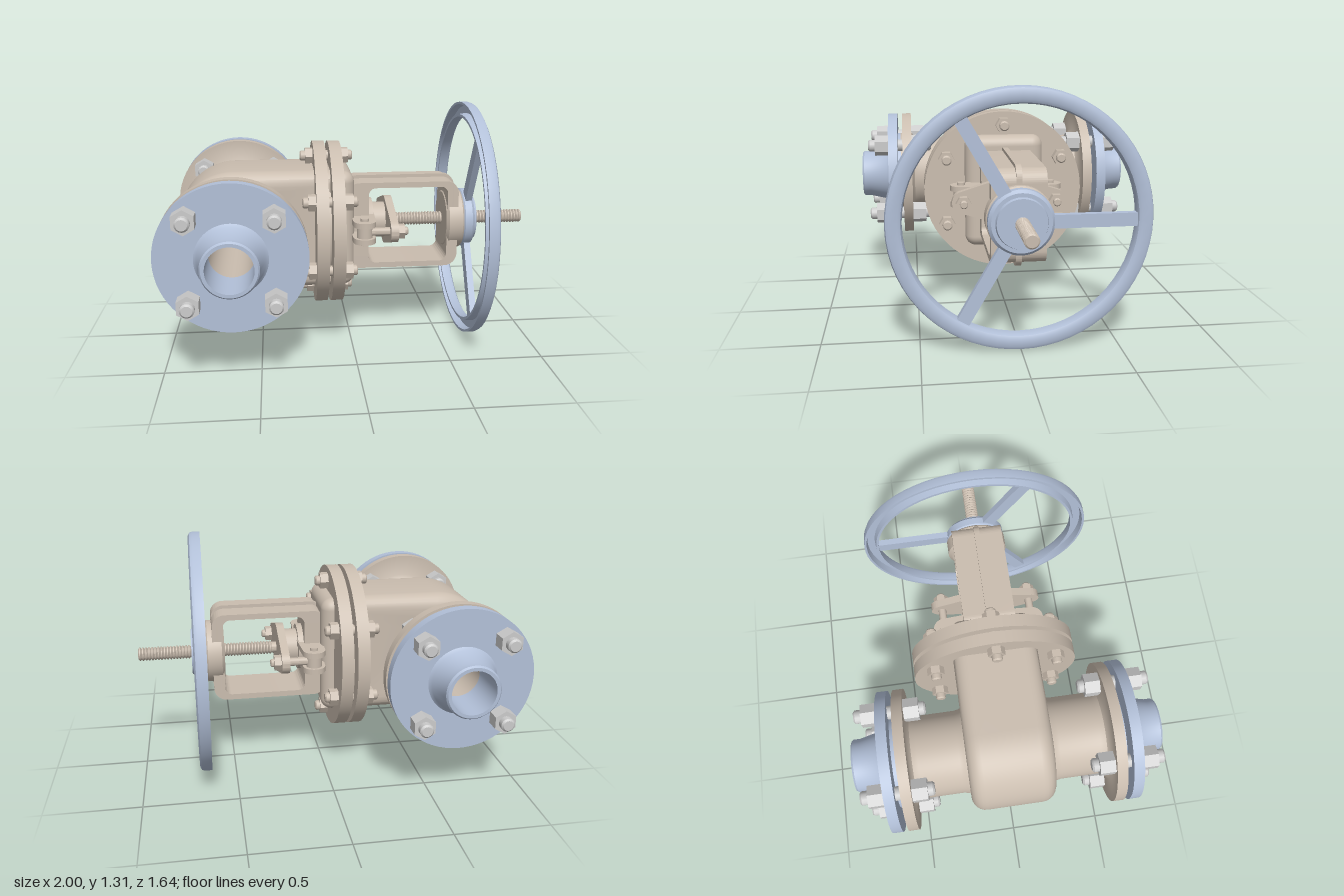
import * as THREE from 'three';
import { toCreasedNormals } from 'three/addons/utils/BufferGeometryUtils.js';
import { RoundedBoxGeometry } from 'three/addons/geometries/RoundedBoxGeometry.js';

const tan = new THREE.MeshStandardMaterial({ color: 0xcabdaf });
const blue = new THREE.MeshStandardMaterial({ color: 0xb2c0d8 });
const steel = new THREE.MeshStandardMaterial({ color: 0xcccccc });
const steelFlat = new THREE.MeshStandardMaterial({ color: 0xcccccc, flatShading: true });
const tanFlat = new THREE.MeshStandardMaterial({ color: 0xcabdaf, flatShading: true });

function add(parent, name, geometry, material) {
  const mesh = new THREE.Mesh(geometry, material);
  mesh.name = name;
  parent.add(mesh);
  return mesh;
}

// Turns a geometry built along y so it lies along x or z
function align(geometry, axis) {
  if (axis === 'x') geometry.rotateZ(-Math.PI / 2);
  if (axis === 'z') geometry.rotateX(Math.PI / 2);
  return geometry;
}

// Turned part from [position along axis, radius] pairs
function turned(axis, profile, segments = 48) {
  const points = profile.map(([a, r]) => new THREE.Vector2(r, a));
  return align(toCreasedNormals(new THREE.LatheGeometry(points, segments), 0.6), axis);
}

// Cylinder spanning from a to b along an axis
function bar(axis, a, b, radius, sides = 24) {
  return align(new THREE.CylinderGeometry(radius, radius, b - a, sides).translate(0, (a + b) / 2, 0), axis);
}

// Threaded bolt with hexagonal nuts given as [from, to] pairs
function bolt(parent, name, axis, from, to, radius, nuts, nutRadius, shankMat, nutMat) {
  const group = new THREE.Group();
  group.name = name;
  const c = radius * 0.25;
  add(group, 'shank', turned(axis, [[from, 0], [from, radius - c], [from + c, radius], [to - c, radius], [to, radius - c], [to, 0]], 16), shankMat);
  for (const [a, b] of nuts) add(group, 'nut', bar(axis, a, b, nutRadius, 6), nutMat);
  parent.add(group);
  return group;
}

// Centred extrusion along z
function slab(shape, depth, bevel = 0) {
  const geometry = new THREE.ExtrudeGeometry(shape, {
    depth: depth - 2 * bevel, bevelEnabled: bevel > 0, bevelSize: bevel, bevelThickness: bevel,
    bevelOffset: -bevel, bevelSegments: 6, curveSegments: 24
  });
  return toCreasedNormals(geometry.translate(0, 0, -depth / 2 + bevel), 0.6);
}

function roundedRect(path, x0, y0, x1, y1, r) {
  path.absarc(x1 - r, y1 - r, r, 0, Math.PI / 2);
  path.absarc(x0 + r, y1 - r, r, Math.PI / 2, Math.PI);
  path.absarc(x0 + r, y0 + r, r, Math.PI, 1.5 * Math.PI);
  path.absarc(x1 - r, y0 + r, r, 1.5 * Math.PI, 2 * Math.PI);
  path.closePath();
  return path;
}

// Central disc tapering to a rounded ear on either side
function earedPlate(R, r, d, hole) {
  const a = Math.acos((R - r) / d);
  const shape = new THREE.Shape();
  shape.absarc(0, 0, R, a, Math.PI - a);
  shape.absarc(-d, 0, r, Math.PI - a, Math.PI + a);
  shape.absarc(0, 0, R, Math.PI + a, 2 * Math.PI - a);
  shape.absarc(d, 0, r, -a, a);
  shape.closePath();
  if (hole) shape.holes.push(new THREE.Path().absarc(0, 0, hole, 0, 2 * Math.PI));
  return shape;
}

export function createModel() {
  const root = new THREE.Group();
  root.name = 'gateValve';
  const valve = new THREE.Group();
  valve.name = 'valve';
  valve.position.y = 0.656;
  root.add(valve);

  // Round-ended gate chamber, pierced by the pipe passage
  const px = -0.625, h = 0.325;
  const chamber = new THREE.Shape();
  chamber.moveTo(-0.08, -h);
  chamber.lineTo(-0.08, h);
  chamber.lineTo(px, h);
  chamber.absarc(px, 0, h, Math.PI / 2, 1.5 * Math.PI);
  chamber.closePath();
  chamber.holes.push(new THREE.Path().absarc(px, 0, 0.125, 0, 2 * Math.PI));
  add(valve, 'gateChamber', slab(chamber, 0.45, 0.075), tan);

  // Pipe passage with a flange at each end
  const half = [[0.2, 0.24], [0.235, 0.225], [0.26, 0.22], [0.47, 0.22], [0.5, 0.23], [0.515, 0.255],
    [0.515, 0.375], [0.57, 0.375], [0.57, 0.25], [0.582, 0.25], [0.582, 0.115]];
  const passage = [...half.map(([a, r]) => [-a, r]).reverse(), ...half, [-0.582, 0.115]];
  add(valve, 'pipePassage', turned('z', passage, 64), tan).position.x = px;

  // Welding-neck counter flanges and their bolts, front and back
  for (const turn of [0, Math.PI]) {
    const end = new THREE.Group();
    end.name = turn ? 'backConnection' : 'frontConnection';
    end.position.x = px;
    end.rotation.y = turn;
    valve.add(end);
    add(end, 'counterFlange', turned('z', [[0.582, 0.115], [0.582, 0.25], [0.6, 0.25], [0.6, 0.375], [0.655, 0.375],
      [0.655, 0.18], [0.67, 0.165], [0.775, 0.14], [0.81, 0.14], [0.82, 0.132], [0.82, 0.115], [0.582, 0.115]], 64), blue);
    for (const x of [-0.21, 0.21]) for (const y of [-0.21, 0.21]) {
      bolt(end, 'pipeFlangeBolt', 'z', 0.4, 0.775, 0.036, [[0.435, 0.515], [0.655, 0.735]], 0.062, steel, steelFlat)
        .position.set(x, y, 0);
    }
  }

  // Bonnet joint: two discs with a gasket between
  add(valve, 'bodyFlange', bar('x', -0.2, -0.135, 0.45, 64), tan);
  add(valve, 'gasket', bar('x', -0.14, -0.105, 0.31, 48), tan);
  add(valve, 'bonnetFlange', bar('x', -0.115, -0.05, 0.45, 64), tan);
  for (let i = 0; i < 6; i++) {
    const a = i * Math.PI / 3;
    bolt(valve, 'bonnetBolt', 'x', -0.27, 0.02, 0.028, [[-0.24, -0.2], [-0.05, -0.005]], 0.046, tan, tanFlat)
      .position.set(0, 0.375 * Math.cos(a), 0.375 * Math.sin(a));
  }

  // Bonnet with stuffing box
  add(valve, 'bonnet', new RoundedBoxGeometry(0.2, 0.64, 0.44, 5, 0.06).translate(-0.085, 0, 0), tan);
  add(valve, 'stuffingBox', turned('x', [[0, 0.16], [0.03, 0.135], [0.13, 0.125], [0.13, 0.03]]), tan);

  // Yoke frame: broad thin legs with a narrow outer rib
  const frame = (grow) => {
    const shape = roundedRect(new THREE.Shape(), -0.02, -0.243 - grow, 0.6, 0.243 + grow, 0.07);
    shape.holes.push(roundedRect(new THREE.Path(), 0.1, -0.213, 0.54, 0.213, 0.04));
    return shape;
  };
  add(valve, 'yoke', slab(frame(0), 0.28), tan);
  add(valve, 'yokeRib', slab(frame(0.018), 0.03), tan);
  add(valve, 'yokeHub', turned('x', [[0.535, 0], [0.535, 0.15], [0.55, 0.17], [0.625, 0.17], [0.635, 0.16], [0.635, 0]]), tan);

  // Gland, its eared flange and hinged eye bolts
  add(valve, 'gland', bar('x', 0.12, 0.21, 0.1), tan);
  add(valve, 'glandFlange', slab(earedPlate(0.135, 0.06, 0.25, 0.03), 0.042).rotateY(Math.PI / 2).translate(0.222, 0, 0), tan);
  for (const y of [-0.045, 0.045]) {
    add(valve, 'lugPlate', slab(earedPlate(0.075, 0.06, 0.25), 0.03).rotateX(-Math.PI / 2).rotateY(Math.PI / 2)
      .translate(0.065, y, 0), tan);
  }
  for (const z of [-0.25, 0.25]) {
    bolt(valve, 'glandBolt', 'x', 0.065, 0.3, 0.022, [[0.243, 0.28]], 0.042, tan, tanFlat).position.z = z;
    add(valve, 'boltEye', bar('y', -0.03, 0.03, 0.042), tan).position.set(0.065, 0, z);
    add(valve, 'hingePin', bar('y', -0.075, 0.075, 0.022), tan).position.set(0.065, 0, z);
  }

  // Threaded stem
  const thread = [[0.1, 0], [0.1, 0.03], [0.27, 0.03]];
  const turns = 44, pitch = 0.73 / turns;
  for (let i = 0; i < turns; i++) thread.push([0.27 + (i + 0.3) * pitch, 0.037], [0.27 + (i + 0.6) * pitch, 0.037], [0.27 + (i + 0.95) * pitch, 0.029]);
  thread.push([1, 0.029], [1, 0]);
  add(valve, 'stem', turned('x', thread, 20), tan);

  // Handwheel: channel rim, three spokes and hub
  const wheel = new THREE.Group();
  wheel.name = 'handwheel';
  valve.add(wheel);
  add(wheel, 'rim', turned('x', [[0.635, 0.656], [0.675, 0.656], [0.69, 0.65], [0.698, 0.635], [0.698, 0.595], [0.69, 0.58],
    [0.675, 0.573], [0.635, 0.573], [0.635, 0.587], [0.675, 0.593], [0.675, 0.636], [0.635, 0.643], [0.635, 0.656]], 64), blue);
  add(wheel, 'hub', turned('x', [[0.632, 0], [0.632, 0.155], [0.642, 0.165], [0.68, 0.165], [0.695, 0.15], [0.695, 0.13],
    [0.712, 0.125], [0.712, 0]]), blue);
  for (let i = 0; i < 3; i++) {
    const spoke = add(wheel, 'spoke', new THREE.BoxGeometry(0.035, 0.068, 0.45).translate(0.665, 0, -0.36), blue);
    spoke.rotation.x = i * 2 * Math.PI / 3;
  }
  return root;
}
